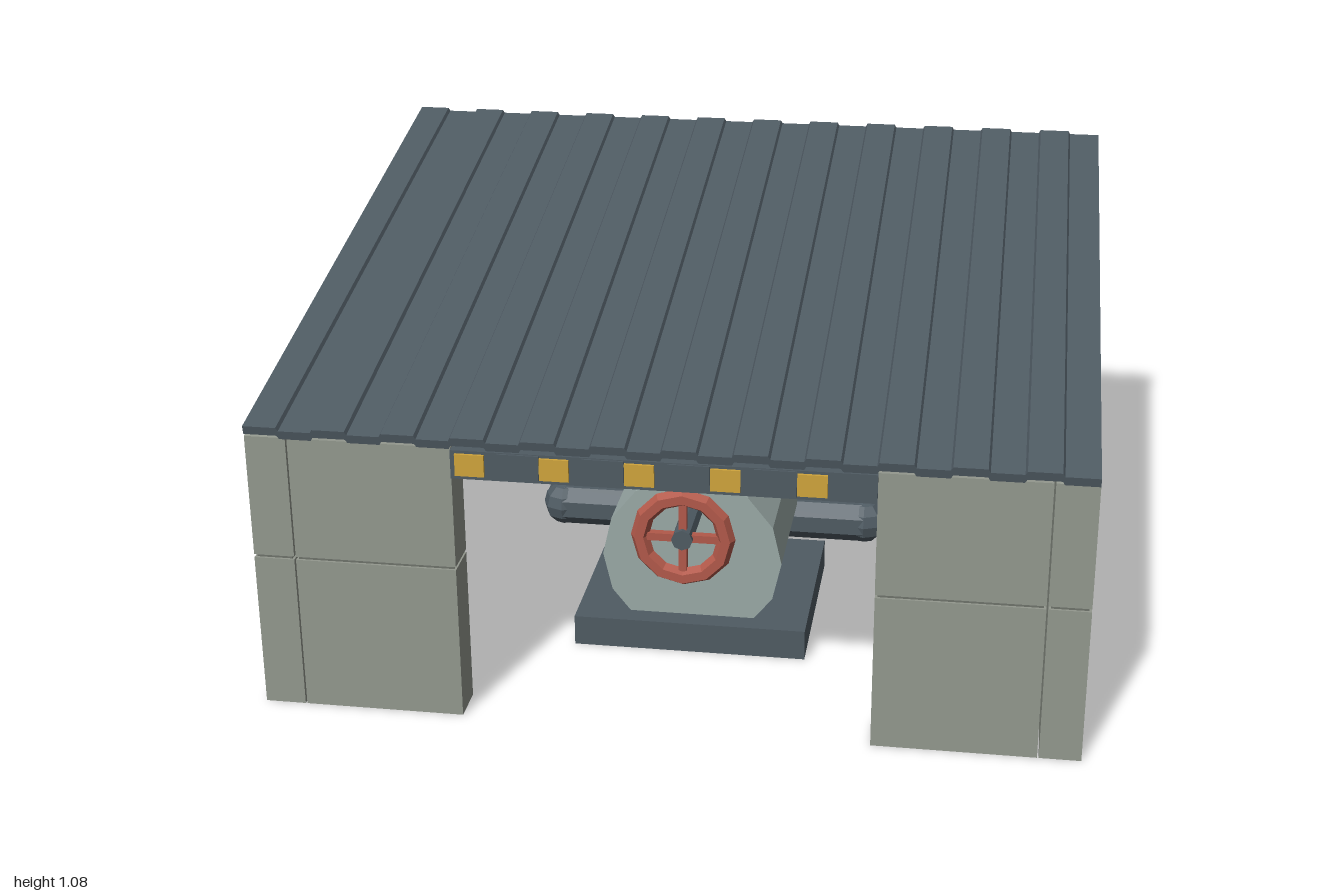
import * as THREE from 'three';

const mat = (color) => new THREE.MeshStandardMaterial({ color, flatShading: true });
const WALL = mat(0x93988e), SEAM = mat(0x6f736b), STEEL = mat(0x4f5b63), YELLOW = mat(0xd0a53c);
const BODY = mat(0x9aa9a6), RED = mat(0xb2594a);

export function createModel() {
  const root = new THREE.Group();
  const add = (name, geo, material, x = 0, y = 0, z = 0, parent = root) => {
    const m = new THREE.Mesh(geo, material);
    m.name = name;
    m.position.set(x, y, z);
    parent.add(m);
    return m;
  };
  // Box given by its low and high corners
  const block = (name, material, [x0, y0, z0], [x1, y1, z1], parent) =>
    add(name, new THREE.BoxGeometry(x1 - x0, y1 - y0, z1 - z0), material,
      (x0 + x1) / 2, (y0 + y1) / 2, (z0 + z1) / 2, parent);

  // Walls: stacked panels with a recessed seam between the two lower courses
  const front = 0.85, back = -0.81, t = 0.1, eave = 0.715, g = 0.004, r = 0.006;
  const courses = [[0, 0.4 - g], [0.4 + g, eave]];
  const wall = (name, x0, x1, z0, z1) => {
    const group = new THREE.Group();
    group.name = name;
    root.add(group);
    for (const [y0, y1] of courses) block('wallPanel', WALL, [x0, y0, z0], [x1, y1, z1], group);
    block('wallSeam', SEAM, [x0 + r, 0.4 - g, z0 + r], [x1 - r, 0.4 + g, z1 - r], group);
    return group;
  };
  for (const s of [-1, 1]) {
    const [x0, x1] = s > 0 ? [1 - t, 1] : [-1, -1 + t];
    const side = wall('sideWall', x0, x1, back, front);
    // Sloping gable on top of each side wall
    const gable = new THREE.Shape([
      new THREE.Vector2(-front, eave), new THREE.Vector2(-back, eave), new THREE.Vector2(-back, 1.03)]);
    const gm = add('gable', new THREE.ExtrudeGeometry(gable, { depth: t, bevelEnabled: false }),
      WALL, x0, 0, 0, side);
    gm.rotation.y = Math.PI / 2;
    const [f0, f1] = s > 0 ? [0.5, 1 - t - g] : [-1 + t + g, -0.5];
    wall('frontWall', f0, f1, front - t, front);
  }
  const rear = wall('backWall', -1 + t + g, 1 - t - g, back, back + t);
  block('backWallTop', WALL, [-1 + t + g, eave, back], [1 - t - g, 1.015, back + t], rear);

  // Corrugated roof sheet, extruded along the slope
  const run = 1.67, rise = 0.335, ribs = 12, pitch = 2 / ribs, low = 0.022, step = 0.009;
  const top = [], bottom = [];
  for (let i = 0; i < ribs; i++) {
    const x = -1 + i * pitch;
    for (const [dx, h] of [[0.002, step], [0.081, step], [0.086, 0], [pitch - 0.003, 0]]) {
      const px = i === 0 && dx === 0.002 ? -1 : i === ribs - 1 && dx > 0.1 ? 1 : x + dx;
      top.push(new THREE.Vector2(px, low + h));
      bottom.unshift(new THREE.Vector2(px, h));
    }
  }
  const len = Math.hypot(run, rise);
  const roofGeo = new THREE.ExtrudeGeometry(new THREE.Shape([...bottom, ...top]), { depth: len, bevelEnabled: false });
  roofGeo.translate(0, 0, -len);
  add('roof', roofGeo, STEEL, 0, 0.712, 0.85).rotation.x = Math.atan2(rise, run);

  // Lintel with warning blocks over the opening
  block('lintel', STEEL, [-0.5, 0.64, 0.77], [0.5, 0.712, 0.856]);
  for (let i = 0; i < 5; i++) {
    const x = -0.453 + i * 0.201;
    block('warningBlock', YELLOW, [x - 0.035, 0.65, 0.84], [x + 0.035, 0.705, 0.863]);
    if (i) block('lintelPlate', STEEL, [x - 0.135, 0.645, 0.84], [x - 0.036, 0.71, 0.861]);
  }

  // Pipework: across the pump, back along the floor, up and out through the rear wall
  const pipes = new THREE.Group();
  pipes.name = 'pipework';
  root.add(pipes);
  const R = 0.058, up = new THREE.Vector3(0, 1, 0);
  const pipe = (a, b) => {
    const d = b.clone().sub(a), mid = a.clone().lerp(b, 0.5);
    const geo = new THREE.CylinderGeometry(R, R, d.length(), 8).rotateY(Math.PI / 8);
    add('pipe', geo, STEEL, mid.x, mid.y, mid.z, pipes).quaternion.setFromUnitVectors(up, d.normalize());
  };
  for (const s of [-1, 1]) {
    const x = s * 0.415;
    const pts = [[0, 0.19, 0], [x, 0.19, 0], [x, 0.19, -0.65], [x, 0.94, -0.65], [x, 0.94, -0.865]]
      .map((p) => new THREE.Vector3(...p));
    for (let i = 0; i < 4; i++) {
      pipe(pts[i], pts[i + 1]);
      if (i) add('pipeElbow', new THREE.SphereGeometry(R * 1.03, 8, 6), STEEL, ...pts[i].toArray(), pipes);
    }
  }

  // Pump on its plinth
  block('plinth', STEEL, [-0.3, 0, -0.08], [0.3, 0.08, 0.455]);
  add('pumpBody', new THREE.CylinderGeometry(0.232, 0.232, 0.4, 14).rotateX(Math.PI / 2).rotateZ(Math.PI / 14),
    BODY, 0, 0.24, 0.2);

  // Hand wheel with spokes, hub and stem
  const wheel = new THREE.Group();
  wheel.name = 'handWheel';
  wheel.position.set(0, 0.37, 0.54);
  root.add(wheel);
  add('wheelRim', new THREE.TorusGeometry(0.109, 0.023, 6, 12), RED, 0, 0, 0, wheel);
  block('wheelSpoke', RED, [-0.1, -0.01, -0.01], [0.1, 0.01, 0.01], wheel);
  block('wheelSpoke', RED, [-0.01, -0.1, -0.01], [0.01, 0.1, 0.01], wheel);
  add('wheelStem', new THREE.CylinderGeometry(0.027, 0.027, 0.18, 8).rotateX(Math.PI / 2), STEEL, 0, 0, -0.068, wheel);

  return root;
}
